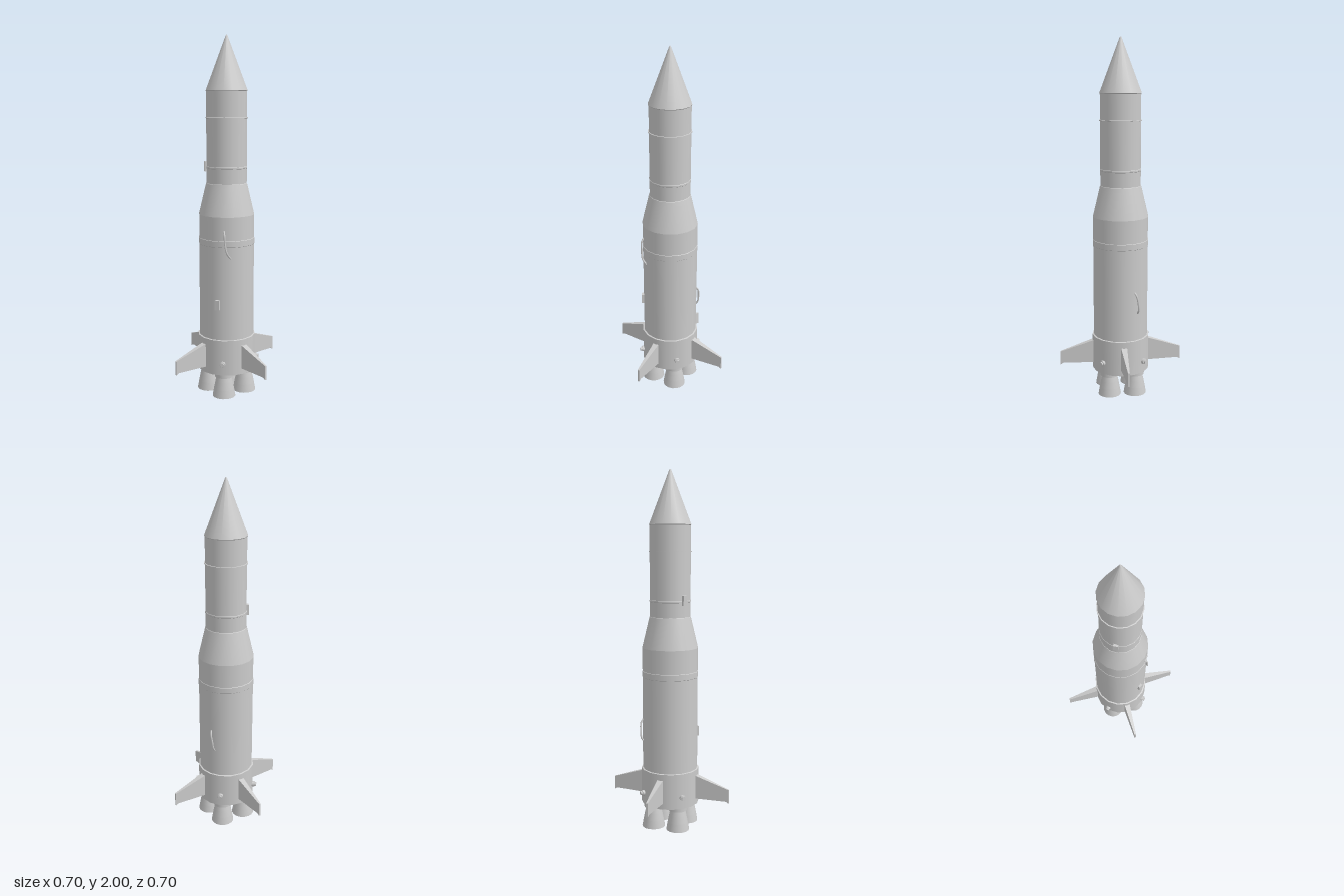
import * as THREE from 'three';

const SIDES = 16;
const mat = new THREE.MeshStandardMaterial({ color: 0xcccccc });

function add(parent, name, geometry) {
  const mesh = new THREE.Mesh(geometry, mat);
  mesh.name = name;
  parent.add(mesh);
  return mesh;
}

// Stack of frustums from [radius, y] points, bottom to top: smooth around, sharp between sections
function stack(name, points, sides = SIDES) {
  const group = new THREE.Group();
  group.name = name;
  for (let i = 0; i < points.length - 1; i++) {
    const [r0, y0] = points[i], [r1, y1] = points[i + 1];
    const geo = new THREE.CylinderGeometry(r1, r0, y1 - y0, sides, 1, true);
    add(group, name + 'Section', geo.translate(0, (y0 + y1) / 2, 0));
  }
  const [rb, yb] = points[0], [rt, yt] = points[points.length - 1];
  const cap = (r) => new THREE.CircleGeometry(r, sides);
  add(group, name + 'BottomCap', cap(rb).rotateX(Math.PI / 2).translate(0, yb, 0));
  add(group, name + 'TopCap', cap(rt).rotateX(-Math.PI / 2).translate(0, yt, 0));
  return group;
}

// Tapered fin pointing along +x, thick at the root and thin at the tip
function finGeometry() {
  const shape = new THREE.Shape([
    [0.14, 0.17], [0.335, 0.17], [0.35, 0.16], [0.35, 0.239], [0.14, 0.31],
  ].map(([x, y]) => new THREE.Vector2(x, y)));
  const geo = new THREE.ExtrudeGeometry(shape, { depth: 2, bevelEnabled: false }).translate(0, 0, -1);
  const p = geo.attributes.position;
  for (let i = 0; i < p.count; i++) {
    const t = (p.getX(i) - 0.14) / 0.21;
    p.setZ(i, p.getZ(i) * THREE.MathUtils.lerp(0.018, 0.005, t));
  }
  geo.computeVertexNormals();
  return geo;
}

// Cable hugging the hull, from [angle from +z toward +x, radius, y] points
function cable(parent, name, points) {
  const path = new THREE.CatmullRomCurve3(points.map(([a, r, y]) =>
    new THREE.Vector3(Math.sin(a) * r, y, Math.cos(a) * r)));
  add(parent, name, new THREE.TubeGeometry(path, 20, 0.005, 8));
}

export function createModel() {
  const rocket = new THREE.Group();
  rocket.name = 'rocket';

  // Hull
  rocket.add(stack('skirt', [[0.163, 0.137], [0.163, 0.337], [0.155, 0.339]]));
  rocket.add(stack('lowerStage', [
    [0.155, 0.33], [0.155, 0.862], [0.157, 0.864], [0.157, 0.896], [0.155, 0.898], [0.155, 1.028],
  ]));
  rocket.add(stack('interstage', [[0.156, 1.028], [0.115, 1.2], [0.113, 1.202]]));
  rocket.add(stack('upperStage', [
    [0.113, 1.2], [0.113, 1.283], [0.115, 1.285], [0.115, 1.293], [0.113, 1.295],
    [0.113, 1.556], [0.118, 1.557], [0.118, 1.562], [0.113, 1.563], [0.113, 1.705],
  ]));
  rocket.add(stack('noseCone', [[0.113, 1.702], [0.116, 1.706], [0.006, 1.994], [0.003, 2]]));

  for (let i = 0; i < 4; i++) {
    // Fin on each axis
    add(rocket, 'fin', finGeometry()).rotation.y = i * Math.PI / 2;

    const diagonal = new THREE.Group();
    diagonal.name = 'engineQuarter';
    diagonal.rotation.y = Math.PI / 4 + i * Math.PI / 2;

    // Engine bell with collar
    const engine = stack('engine', [
      [0.065, 0], [0.057, 0.045], [0.049, 0.085], [0.043, 0.113], [0.053, 0.115], [0.053, 0.14],
    ]);
    engine.position.z = 0.073 * Math.SQRT2;
    diagonal.add(engine);

    // Small side thruster
    const thruster = stack('sideThruster', [[0.016, 0.15], [0.016, 0.174], [0.011, 0.175], [0.011, 0.184]], 12);
    thruster.rotation.x = Math.PI / 2;
    thruster.position.y = 0.203;
    diagonal.add(thruster);
    rocket.add(diagonal);
  }

  // External cables
  cable(rocket, 'frontCable', [
    [-0.75, 0.151, 0.955], [-0.72, 0.165, 0.93], [-0.7, 0.167, 0.88], [-0.63, 0.166, 0.83], [-0.5, 0.151, 0.8],
  ]);
  cable(rocket, 'sideCable', [
    [1.98, 0.151, 0.62], [2.02, 0.164, 0.6], [2.08, 0.167, 0.555], [2.11, 0.164, 0.515], [2.12, 0.151, 0.495],
  ]);

  // Equipment boxes
  for (const [x, y, z] of [[-0.13, 0.54, 0.087], [-0.101, 1.295, -0.053]]) {
    const box = add(rocket, 'equipmentBox', new THREE.BoxGeometry(0.026, 0.055, 0.02));
    box.position.set(x, y, z);
    box.rotation.y = Math.atan2(x, z);
  }
  return rocket;
}
